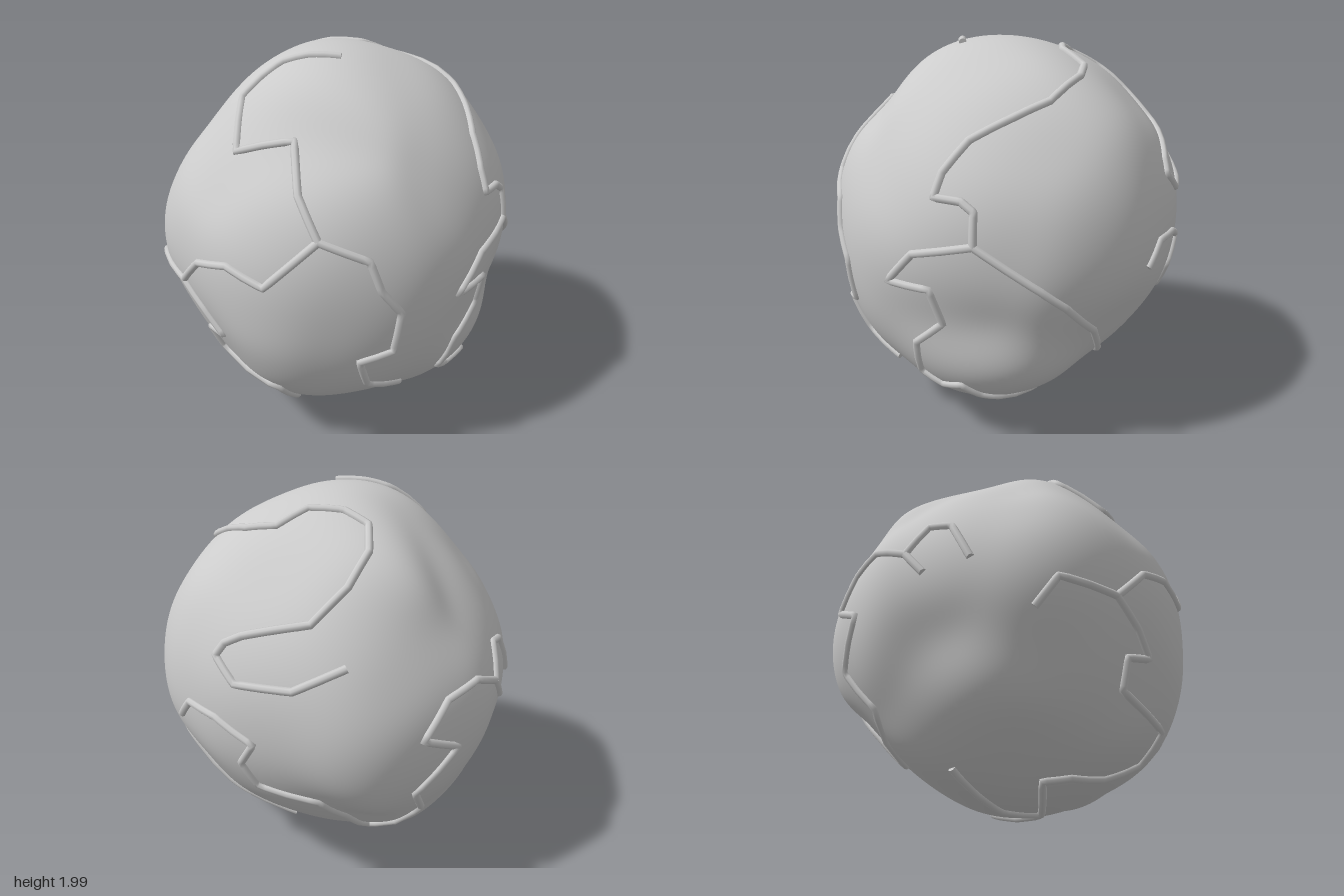
import * as THREE from 'three';
import { mergeVertices } from 'three/addons/utils/BufferGeometryUtils.js';

const material = new THREE.MeshStandardMaterial({ color: 0xcccccc });
const CENTRE = new THREE.Vector3(0, 1, 0);

// Cross-sections through the centre of the lump: turn and tilt of the cutting plane
// in degrees, then the radius at even steps round it
const sections = [
  { turn: 0, tilt: 0, radii: [0.915, 0.945, 0.96, 0.962, 0.99, 0.93, 0.884, 0.895,
    0.912, 0.87, 0.965, 0.989, 0.98, 0.925, 1.025, 0.905] },
  { turn: 90, tilt: 0, radii: [0.93, 0.953, 0.933, 0.965, 0.99, 0.993, 0.9, 0.928,
    0.95, 0.985, 1.02, 1, 0.98, 0.92, 0.885, 0.91] },
  { turn: 0, tilt: 90, radii: [0.93, 0.962, 0.97, 0.94, 0.94, 0.988, 0.986, 0.968,
    0.91, 0.915, 0.934, 0.94, 0.94, 0.93, 0.95, 0.937] },
  { turn: 35, tilt: 25, radii: [0.968, 0.985, 1, 0.943, 0.94, 0.89, 0.865, 0.9,
    0.968, 0.925, 0.955, 1, 0.945, 1.02, 1.047, 0.942] },
  { turn: 215, tilt: 25, radii: [0.957, 0.942, 0.91, 0.945, 0.975, 0.953, 0.942, 0.972,
    0.96, 0.907, 0.898, 0.876, 0.92, 0.99, 0.968, 0.912] },
  { turn: 145, tilt: -30, radii: [0.93, 0.936, 0.934, 0.938, 0.97, 0.97, 0.936, 0.915,
    0.93, 0.966, 0.98, 1, 0.97, 0.942, 0.926, 0.945] },
];

// Paths of the raised veins; forks are shared points
const forkFront = [0.25, 1.29, 0.86], forkSide = [0.92, 1.15, -0.01];
const forkLow = [-0.52, 0.89, 0.74], forkBase = [-0.03, 0.03, 0.17];
const forkBack = [-0.36, 0.24, -0.44], forkLeft = [-0.93, 1.13, -0.17];
const veins = {
  upperFrontVein: [[0.11, 1.95, 0.21], [-0.04, 1.97, 0.25], [-0.16, 1.93, 0.29], [-0.32, 1.77, 0.42],
    [-0.25, 1.57, 0.64], [0.04, 1.65, 0.62], [0.13, 1.47, 0.8], forkFront],
  frontLeftVein: [forkFront, [0.47, 1.2, 0.79], [0.52, 1.05, 0.77], [0.6, 0.92, 0.71],
    [0.56, 0.69, 0.69], [0.42, 0.64, 0.77], [0.44, 0.43, 0.69], [0.54, 0.35, 0.48]],
  frontCrossVein: [forkFront, [0.01, 1.05, 0.93], [-0.19, 1.11, 0.91], [-0.38, 1.06, 0.85], forkLow],
  frontShortBranch: [forkLow, [-0.74, 0.92, 0.54], [-0.77, 0.78, 0.44]],
  frontLowerVein: [forkLow, [-0.4, 0.77, 0.82], [-0.29, 0.65, 0.84], [-0.41, 0.62, 0.78],
    [-0.37, 0.47, 0.74], [0, 0.4, 0.78], [0.04, 0.24, 0.67], [-0.1, 0.14, 0.53],
    [-0.25, 0.11, 0.42], [-0.32, 0.08, 0.3], forkBase],
  topLoopVein: [forkSide, [0.91, 1.31, -0.01], [0.89, 1.35, 0.05], [0.85, 1.35, 0.18], [0.82, 1.46, 0.15],
    [0.74, 1.59, 0.04], [0.66, 1.68, -0.14], [0.56, 1.75, -0.3], [0.32, 1.84, -0.42], [0.15, 1.86, -0.42],
    [0.04, 1.93, -0.3], [-0.14, 1.94, -0.28], [-0.28, 1.9, -0.32], [-0.34, 1.82, -0.47],
    [-0.3, 1.69, -0.63], [-0.18, 1.54, -0.77], [0.13, 1.46, -0.83], [0.22, 1.42, -0.85],
    [0.26, 1.35, -0.85], [0.14, 1.25, -0.91], [-0.15, 1.27, -0.91], [-0.37, 1.38, -0.81]],
  sideLowerVein: [forkSide, [0.88, 1.08, 0.29], [0.8, 0.91, 0.43], [0.87, 0.91, 0.21], [0.85, 0.72, 0.16],
    [0.78, 0.58, 0.31], [0.7, 0.38, 0.31], [0.73, 0.31, 0.2], [0.78, 0.36, 0.09],
    [0.75, 0.27, 0], [0.7, 0.27, -0.06], [0.53, 0.25, -0.24], [0.42, 0.2, -0.21], [0.26, 0.14, -0.1],
    [0.18, 0.11, -0.16], [0.08, 0.07, -0.14], forkBase],
  backLongVein: [forkSide, [0.9, 0.95, -0.31], [0.83, 0.85, -0.42], [0.66, 0.65, -0.55],
    [0.4, 0.37, -0.59], [0.06, 0.23, -0.5]],
  baseBranch: [forkBase, [-0.17, 0.05, 0.02], [-0.51, 0.18, -0.08]],
  backVein: [[0.52, 0.95, -0.77], [0.44, 1.06, -0.83], [0.26, 1.05, -0.9], [0.05, 0.96, -0.94],
    [0.14, 0.82, -0.91], [0.08, 0.67, -0.87], [-0.23, 0.64, -0.82],
    [-0.31, 0.46, -0.69], [-0.33, 0.29, -0.51], forkBack],
  backRightVein: [forkBack, [-0.63, 0.48, -0.44], [-0.63, 0.7, -0.61], [-0.8, 0.91, -0.48],
    [-0.67, 1.01, -0.65], [-0.75, 1.17, -0.53], [-0.84, 1.21, -0.36], forkLeft],
  rightHookVein: [forkLeft, [-0.9, 1.3, -0.07], [-0.9, 1.27, 0.06], [-0.91, 1.04, 0.18]],
  rightShortBranch: [forkLeft, [-0.93, 1, -0.06]],
};

// Radius samples taken from the sections and the main veins
const samples = [];
function addSample(offset) {
  const target = offset.length();
  samples.push({ dir: offset.normalize(), target, r: target });
}
for (const { turn, tilt, radii } of sections) {
  const rotation = new THREE.Euler(-THREE.MathUtils.degToRad(tilt), THREE.MathUtils.degToRad(turn), 0, 'YXZ');
  radii.forEach((r, i) => {
    const a = (i / radii.length) * Math.PI * 2;
    addSample(new THREE.Vector3(r * Math.cos(a), r * Math.sin(a), 0).applyEuler(rotation));
  });
}
for (const name of ['upperFrontVein', 'frontLeftVein', 'topLoopVein', 'sideLowerVein'])
  for (const p of veins[name]) addSample(new THREE.Vector3(...p).sub(CENTRE));
// Hollow low on the front
addSample(new THREE.Vector3(-0.38, -0.45, 0.72));

// Smoothly blended radius in a direction
function radiusAt(dir) {
  let sum = 0.93 * 0.02, weight = 0.02;
  for (const s of samples) {
    const w = Math.exp(28 * (s.dir.dot(dir) - 1));
    sum += w * s.r;
    weight += w;
  }
  return sum / weight;
}
// Sharpen the blend a little towards the samples
for (let pass = 0; pass < 3; pass++) {
  const errors = samples.map((s) => s.target - radiusAt(s.dir));
  samples.forEach((s, i) => { s.r += 0.6 * errors[i]; });
}

function onSurface(p) {
  const dir = p.clone().sub(CENTRE).normalize();
  return dir.multiplyScalar(radiusAt(dir) + 0.002).add(CENTRE);
}

// Straight-sided path with a mitre ring at each corner
class VeinCurve extends THREE.Curve {
  constructor(points) {
    super();
    this.points = points;
  }
  getPoint(t) {
    return this.points[Math.round(t * (this.points.length - 1))].clone();
  }
  getTangent(t) {
    const p = this.points, i = Math.round(t * (p.length - 1));
    const tangent = new THREE.Vector3();
    if (i > 0) tangent.add(p[i].clone().sub(p[i - 1]).normalize());
    if (i < p.length - 1) tangent.add(p[i + 1].clone().sub(p[i]).normalize());
    return tangent.normalize();
  }
  getPointAt(t) { return this.getPoint(t); }
  getTangentAt(t) { return this.getTangent(t); }
}

function makeVein(name, path) {
  const corners = path.map((p) => new THREE.Vector3(...p));
  const points = [];
  for (let i = 0; i < corners.length - 1; i++)
    for (const f of [0, 0.14, 0.5, 0.86]) points.push(onSurface(corners[i].clone().lerp(corners[i + 1], f)));
  points.push(onSurface(corners[corners.length - 1]));

  const vein = new THREE.Group();
  vein.name = name;
  const curve = new VeinCurve(points);
  const tube = new THREE.Mesh(new THREE.TubeGeometry(curve, points.length - 1, 0.02, 8), material);
  tube.name = name + 'Tube';
  vein.add(tube);
  // Flat ends
  for (const [t, sign] of [[0, -1], [1, 1]]) {
    const cap = new THREE.Mesh(new THREE.CircleGeometry(0.02, 8), material);
    cap.name = name + 'End';
    cap.position.copy(curve.getPoint(t));
    cap.lookAt(cap.position.clone().addScaledVector(curve.getTangent(t), sign));
    vein.add(cap);
  }
  return vein;
}

export function createModel() {
  const model = new THREE.Group();
  model.name = 'veinedBoulder';

  // Lumpy body
  let geometry = new THREE.IcosahedronGeometry(1, 36);
  geometry.deleteAttribute('uv');
  geometry.deleteAttribute('normal');
  geometry = mergeVertices(geometry, 1e-5);
  const pos = geometry.attributes.position;
  const v = new THREE.Vector3();
  for (let i = 0; i < pos.count; i++) {
    v.fromBufferAttribute(pos, i).normalize();
    v.multiplyScalar(radiusAt(v)).add(CENTRE);
    pos.setXYZ(i, v.x, v.y, v.z);
  }
  geometry.computeVertexNormals();
  const body = new THREE.Mesh(geometry, material);
  body.name = 'body';
  model.add(body);

  // Raised veins
  for (const [name, path] of Object.entries(veins)) model.add(makeVein(name, path));

  // Stand on the ground
  model.position.y = -new THREE.Box3().setFromObject(model, true).min.y;
  return model;
}
